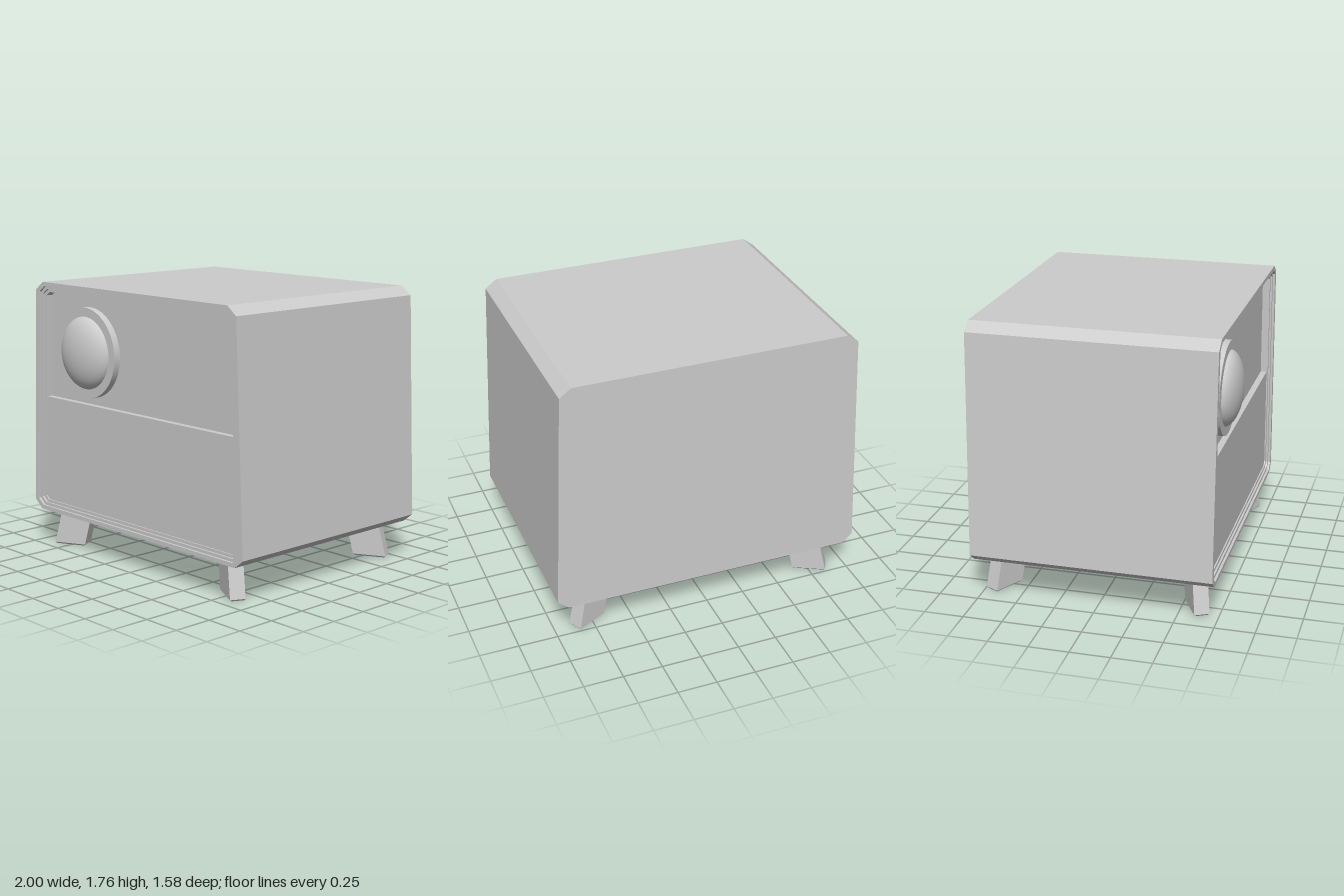
import * as THREE from 'three';

const grey = new THREE.MeshStandardMaterial({ color: 0xcccccc });
grey.name = 'light grey';

// Flat-sided solid through matching rings of [x, y, z], with both ends capped
function loft(rings) {
  const pos = [];
  const tri = (a, b, c) => pos.push(...a, ...b, ...c);
  const n = rings[0].length;
  for (let r = 0; r < rings.length - 1; r++) {
    const a = rings[r], b = rings[r + 1];
    for (let i = 0; i < n; i++) {
      const j = (i + 1) % n;
      tri(a[i], a[j], b[j]);
      tri(a[i], b[j], b[i]);
    }
  }
  const first = rings[0], last = rings[rings.length - 1];
  for (let i = 1; i < n - 1; i++) {
    tri(first[0], first[i + 1], first[i]);
    tri(last[0], last[i], last[i + 1]);
  }
  const geo = new THREE.BufferGeometry();
  geo.setAttribute('position', new THREE.Float32BufferAttribute(pos, 3));
  geo.computeVertexNormals();
  return geo;
}

// Tapered outline with chamfered corners, inset from the cabinet's edge
function outline(z, ix, iy, c, top = 1.76 - iy, cTop = c) {
  const b = 0.235 + iy;
  const side = (y) => 1 - 0.0423 * (y - 0.29) - ix;
  const right = [
    [side(b) - c * 1.3, b], [side(b + c), b + c],
    [side(top - cTop), top - cTop], [side(top) - cTop * 1.3, top],
  ];
  const left = right.map(([x, y]) => [-x, y]).reverse();
  return [...right, ...left].map(([x, y]) => [x, y, z]);
}

export function createModel() {
  const model = new THREE.Group();
  const add = (name, geo) => {
    const mesh = new THREE.Mesh(geo, grey);
    mesh.name = name;
    model.add(mesh);
    return mesh;
  };

  // Cabinet with a stepped frame around the recessed front
  add('cabinet', loft([
    outline(-0.79, 0, 0, 0.055),
    outline(0.735, 0, 0, 0.055),
    outline(0.735, 0.037, 0.027, 0.04),
    outline(0.72, 0.037, 0.027, 0.04),
    outline(0.72, 0.058, 0.046, 0.032),
    outline(0.708, 0.058, 0.046, 0.032),
    outline(0.708, 0.08, 0.065, 0.024),
    outline(0.66, 0.08, 0.065, 0.024),
  ]));

  // Lower front panel, standing forward of the upper one
  add('lowerPanel', loft([
    outline(0.65, 0.08, 0.065, 0.024, 1.0, 0.001),
    outline(0.7, 0.08, 0.065, 0.024, 1.0, 0.001),
  ]));

  // Round mount and domed lens
  const mount = new THREE.CylinderGeometry(0.29, 0.29, 0.055, 64);
  mount.rotateX(Math.PI / 2);
  add('lensMount', mount).position.set(-0.47, 1.335, 0.6775);

  const dome = new THREE.SphereGeometry(0.235, 64, 20, 0, Math.PI * 2, 0, Math.PI / 2);
  dome.rotateX(Math.PI / 2);
  dome.scale(1, 1, 0.1 / 0.235);
  add('lensDome', dome).position.set(-0.47, 1.335, 0.69);

  // Splayed legs, turned towards the corners, with softened feet
  const zMid = -0.027;
  const dir = [0.884, 0.468];
  const legRing = (y, inset, sx, sz) => {
    const lean = 0.0565 * (1 - y / 0.235);
    const cx = 0.7275 + dir[0] * lean, cz = 0.5725 + dir[1] * lean;
    const a = 0.1075 - inset, w = 0.048 - inset;
    const ring = [[a, w], [a, -w], [-a, -w], [-a, w]].map(([u, v]) => [
      sx * (cx + u * dir[0] - v * dir[1]),
      y,
      zMid + sz * (cz + u * dir[1] + v * dir[0] - zMid),
    ]);
    return sx * sz < 0 ? ring.reverse() : ring;
  };
  for (const sx of [-1, 1]) {
    for (const sz of [-1, 1]) {
      const name = (sz > 0 ? 'front' : 'back') + (sx > 0 ? 'Left' : 'Right') + 'Leg';
      add(name, loft([
        legRing(0, 0.01, sx, sz),
        legRing(0.01, 0, sx, sz),
        legRing(0.245, 0, sx, sz),
      ]));
    }
  }
  return model;
}
